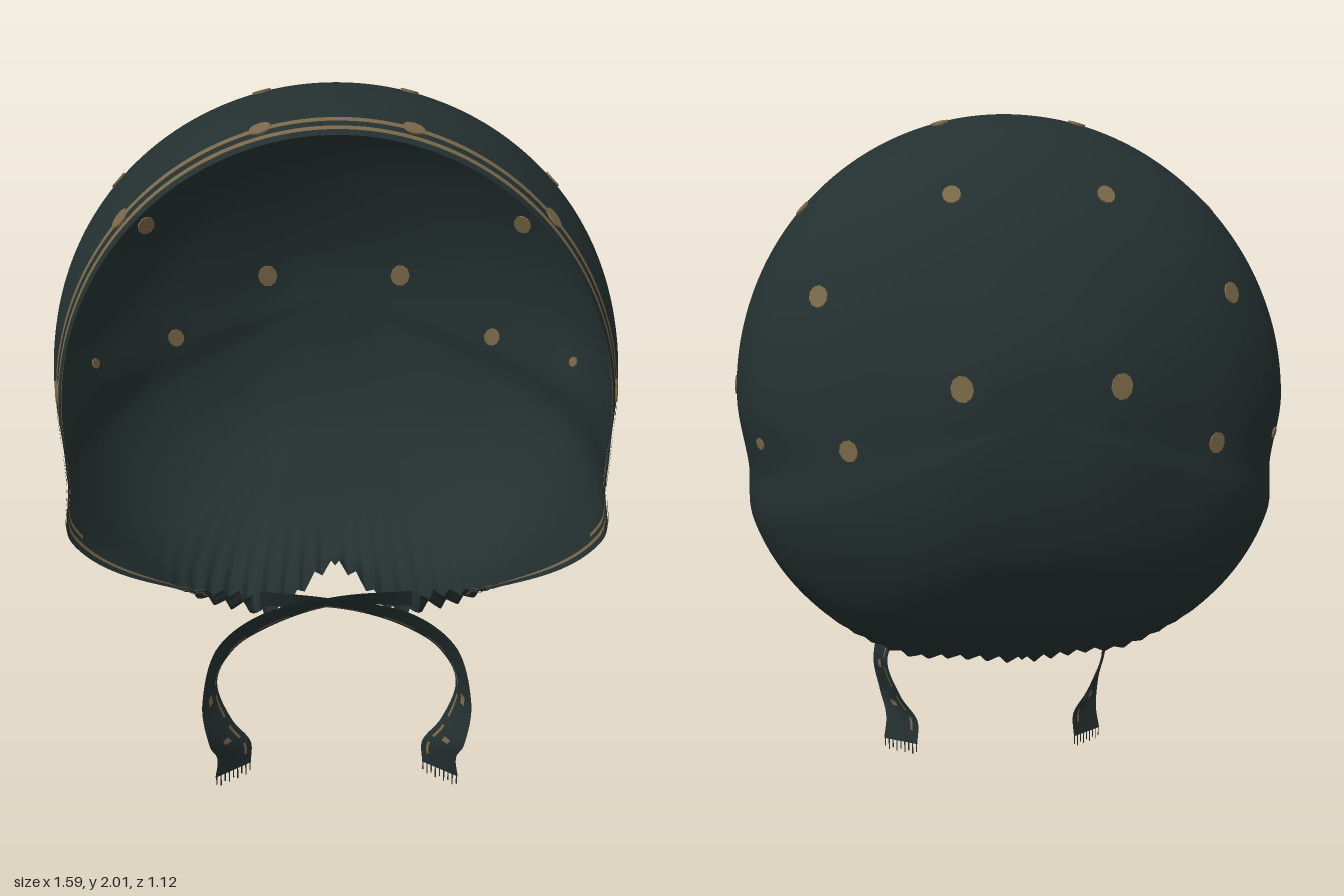
import * as THREE from 'three';
import { mergeVertices } from 'three/addons/utils/BufferGeometryUtils.js';

const cloth = new THREE.MeshStandardMaterial({ color: 0x243030, side: THREE.DoubleSide });
cloth.name = 'dark cloth';
const tan = new THREE.MeshStandardMaterial({ color: 0x7a6848, side: THREE.DoubleSide });
tan.name = 'tan print';

const CENTRE_Y = 1.2;
const { smoothstep, lerp, degToRad } = THREE.MathUtils;

// Profiles from the back pole to the free edge, by angle from the crown:
// [degrees, outline radius, then pairs of z and fraction of the radius]
const KEYS = [
  [0, 0.8, -0.565, 0, -0.55, 0.2, -0.48, 0.44, -0.36, 0.7, -0.18, 0.91, 0.05, 1, 0.3, 0.995, 0.54, 0.955],
  [90, 0.79, -0.565, 0, -0.55, 0.25, -0.48, 0.5, -0.37, 0.76, -0.2, 0.95, 0, 1, 0.22, 0.985, 0.555, 0.9],
  [104, 0.785, -0.565, 0, -0.552, 0.25, -0.485, 0.51, -0.38, 0.77, -0.2, 0.95, 0, 1, 0.24, 0.985, 0.55, 0.925],
  [115, 0.83, -0.565, 0, -0.555, 0.26, -0.49, 0.52, -0.39, 0.77, -0.21, 0.95, 0, 1, 0.25, 0.98, 0.54, 0.94],
  [139, 0.835, -0.565, 0, -0.556, 0.27, -0.5, 0.53, -0.4, 0.76, -0.25, 0.93, -0.03, 1, 0.2, 0.95, 0.43, 0.83],
  [157, 0.81, -0.565, 0, -0.556, 0.27, -0.51, 0.5, -0.42, 0.7, -0.3, 0.88, -0.1, 1, 0.14, 0.98, 0.3, 0.83],
  [165, 0.79, -0.565, 0, -0.556, 0.27, -0.51, 0.5, -0.42, 0.68, -0.31, 0.86, -0.13, 0.98, 0.04, 1, 0.2, 0.97],
  [180, 0.78, -0.565, 0, -0.556, 0.27, -0.51, 0.5, -0.44, 0.64, -0.35, 0.8, -0.26, 0.92, -0.19, 0.96, -0.13, 0.95],
];

// Smooth interpolation between keys, level at crown and nape
function slope(k, c) {
  if (k === 0 || k === KEYS.length - 1) return 0;
  return (KEYS[k + 1][c] - KEYS[k - 1][c]) / (KEYS[k + 1][0] - KEYS[k - 1][0]);
}
function keyAt(deg) {
  let k = 0;
  while (k < KEYS.length - 2 && deg > KEYS[k + 1][0]) k++;
  const h = KEYS[k + 1][0] - KEYS[k][0], t = (deg - KEYS[k][0]) / h;
  return KEYS[k].map((a, c) => {
    const b = KEYS[k + 1][c], t2 = t * t, t3 = t2 * t;
    return a * (2 * t3 - 3 * t2 + 1) + b * (3 * t2 - 2 * t3)
      + h * (slope(k, c) * (t3 - 2 * t2 + t) + slope(k + 1, c) * (t3 - t2));
  });
}
const cache = new Map();
function profile(deg) {
  if (!cache.has(deg)) {
    const key = keyAt(deg), pts = [];
    for (let i = 2; i < key.length; i += 2) pts.push(new THREE.Vector3(key[i], key[i + 1] * key[1], 0));
    cache.set(deg, new THREE.CatmullRomCurve3(pts));
  }
  return cache.get(deg);
}

// Point on the hood: signed angle from the crown, u from back pole to edge
function hoodPoint(deg, u) {
  const a = Math.abs(deg), p = profile(a).getPoint(u), th = degToRad(deg);
  const gather = smoothstep(u, 0.4, 1) * smoothstep(a, 135, 163);
  const fold = gather * Math.sin(a * Math.PI / 2);
  const r = p.y * (1 + 0.02 * fold);
  return new THREE.Vector3(r * Math.sin(th), CENTRE_Y + r * Math.cos(th), p.x + 0.008 * fold);
}
function hoodNormal(deg, u) {
  const du = hoodPoint(deg, Math.min(1, u + 0.005)).sub(hoodPoint(deg, u - 0.005));
  const dt = hoodPoint(deg + 0.5, u).sub(hoodPoint(deg - 0.5, u));
  return du.cross(dt).normalize();
}

// Grid surface from a rule fn(s, t)
function grid(name, material, ns, nt, fn) {
  const pos = [], index = [];
  for (let i = 0; i <= ns; i++)
    for (let j = 0; j <= nt; j++) pos.push(...fn(i / ns, j / nt).toArray());
  for (let i = 0; i < ns; i++)
    for (let j = 0; j < nt; j++) {
      const a = i * (nt + 1) + j, c = a + nt + 1;
      index.push(a, a + 1, c, c, a + 1, c + 1);
    }
  let geo = new THREE.BufferGeometry();
  geo.setAttribute('position', new THREE.Float32BufferAttribute(pos, 3));
  geo.setIndex(index);
  geo = mergeVertices(geo, 1e-5);
  geo.computeVertexNormals();
  const mesh = new THREE.Mesh(geo, material);
  mesh.name = name;
  return mesh;
}

// Printed band a set distance behind the front edge, on both faces of the cloth
function addStripe(group, near, far, reach) {
  const uAt = (deg, back) => {
    const curve = profile(Math.abs(deg)), z = curve.getPoint(1).x - back;
    let lo = 0.5, hi = 1;
    for (let i = 0; i < 20; i++) {
      const mid = (lo + hi) / 2;
      if (curve.getPoint(mid).x < z) lo = mid; else hi = mid;
    }
    return lo;
  };
  for (const side of [1, -1])
    group.add(grid('rimStripe', tan, 180, 2, (s, t) => {
      const deg = lerp(-reach, reach, s), u = uAt(deg, lerp(far, near, t));
      return hoodPoint(deg, u).addScaledVector(hoodNormal(deg, u), side * 0.004);
    }));
}

// Printed spot through the cloth at the surface point nearest to a position
function addSpot(group, x, y, z, r) {
  const deg = Math.atan2(x, y - CENTRE_Y) * 180 / Math.PI, target = new THREE.Vector3(x, y, z);
  let u = 0.1, best = 9;
  for (let i = 10; i < 195; i++) {
    const d = hoodPoint(deg, i / 200).distanceTo(target);
    if (d < best) { best = d; u = i / 200; }
  }
  const spot = new THREE.Mesh(new THREE.CylinderGeometry(r, r, 0.009, 10), tan);
  spot.name = 'spot';
  spot.position.copy(hoodPoint(deg, u));
  spot.quaternion.setFromUnitVectors(new THREE.Vector3(0, 1, 0), hoodNormal(deg, u));
  spot.scale.x = 0.85;
  group.add(spot);
}

// Ribbon tie: crosses under the chin, then hangs with a twist
function createTie(m) {
  const tie = new THREE.Group();
  tie.name = m > 0 ? 'leftTie' : 'rightTie';
  const curve = (pts) => new THREE.CatmullRomCurve3(pts.map(([x, y, z]) => new THREE.Vector3(m * x, y, z)));
  const lift = 0.008 * m;
  const path = curve([[-0.22, 0.55, 0.26], [0, 0.57, 0.32 + lift], [0.2, 0.53, 0.35], [0.32, 0.44, 0.36],
    [0.365, 0.31, 0.385], [0.335, 0.19, 0.4], [0.3, 0.11, 0.37], [0.305, 0.035, 0.36]]);
  const edge = curve([[0, 0.03, 0.01], [0, 0.025, 0.02], [0.012, 0.035, 0.03], [0.02, 0.03, 0.05],
    [0.018, 0, 0.055], [0.03, 0, 0.065], [0.047, 0, 0.045], [0.05, 0, 0.04]]);
  const at = (s, w, off = 0) => {
    const e = edge.getPoint(s), n = path.getTangent(s).cross(e).normalize();
    return path.getPoint(s).addScaledVector(e, w).addScaledVector(n, off);
  };
  tie.add(grid('ribbon', cloth, 60, 4, (s, t) => at(s, t * 2 - 1)));
  // Broken printed line and blotches on both faces
  for (const side of [0.003, -0.003]) {
    for (let k = 0; k < 7; k++)
      tie.add(grid('ribbonDash', tan, 8, 1,
        (s, t) => at(0.12 + k * 0.12 + s * 0.08, -0.68 + t * 0.14, side)));
    for (const s0 of [0.58, 0.76])
      tie.add(grid('ribbonSpot', tan, 3, 2, (s, t) => at(s0 + s * 0.03, -0.15 + t * 0.4, side)));
  }
  // Frayed end
  for (let k = 0; k < 9; k++) {
    const w = -0.95 + k * 0.235, drop = k % 2 ? 0.035 : 0.026;
    tie.add(grid('fringe', cloth, 1, 1, (s, t) => {
      const p = at(1, w + (t - 0.5) * 0.07);
      p.y -= s * drop;
      return p;
    }));
  }
  return tie;
}

export function createModel() {
  const model = new THREE.Group();
  model.name = 'bonnet';

  model.add(grid('hood', cloth, 360, 52, (s, t) => hoodPoint(lerp(-180, 180, s), t)));

  const print = new THREE.Group();
  print.name = 'hoodPrint';
  addStripe(print, 0.03, 0.055, 150);
  addStripe(print, 0.088, 0.113, 118);

  // Spots [x, y, z, radius], mirrored across the hood
  const spots = [
    [0.21, 1.28, -0.54, 0.036], [0.215, 1.79, -0.34, 0.03], [0.57, 1.51, -0.32, 0.033],
    [0.495, 1.11, -0.42, 0.03], [0.2, 1.98, 0.05, 0.03], [0.6, 1.74, 0.05, 0.029],
    [0.78, 1.23, 0.09, 0.032], [0.74, 1.1, -0.23, 0.018],
    [0.19, 1.95, 0.43, 0.034], [0.55, 1.73, 0.435, 0.034], [0.73, 1.26, 0.44, 0.036],
  ];
  for (const [x, y, z, r] of spots) for (const m of [1, -1]) addSpot(print, m * x, y, z, r);
  model.add(print);

  model.add(createTie(1), createTie(-1));
  return model;
}
